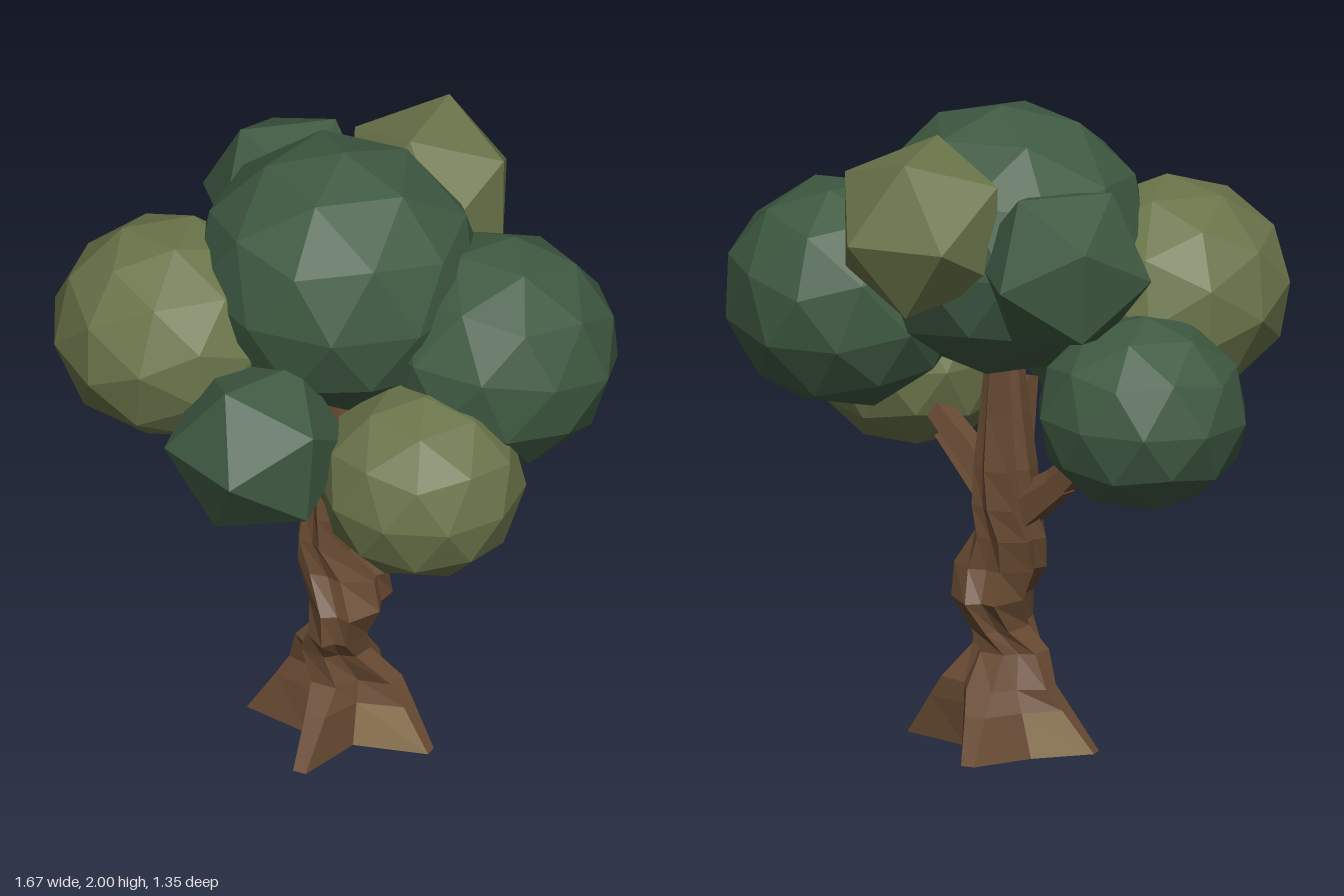
import * as THREE from 'three';

const material = (name, color) => {
  const m = new THREE.MeshStandardMaterial({ color, flatShading: true });
  m.name = name;
  return m;
};

export function createModel() {
  const tree = new THREE.Group();
  tree.name = 'tree';
  const bark = material('bark brown', 0x684a32);
  const paleBark = material('pale bark', 0x8c7552);
  const darkLeaf = material('dark green leaves', 0x3f5a42);
  const oliveLeaf = material('olive leaves', 0x6b754a);

  const add = (name, geometry, mat, parent = tree) => {
    const mesh = new THREE.Mesh(geometry, mat);
    mesh.name = name;
    parent.add(mesh);
    return mesh;
  };

  // Trunk: four-lobed rings that flare into roots and twist upwards
  // [y, centre x, centre z, radius x, radius z, lobe half angle, twist, valley ratios at four corners]
  const even = [0.8, 0.8, 0.8, 0.8];
  const rings = [
    [0, 0.013, -0.037, 0.3, 0.275, 0.07, 0.05, [0.42, 0.36, 0.36, 0.68]],
    [0.135, 0.015, -0.06, 0.215, 0.19, 0.15, 0.06, [0.55, 0.5, 0.5, 0.75]],
    [0.2, 0.015, -0.072, 0.176, 0.13, 0.24, 0.1, [0.65, 0.6, 0.6, 0.75]],
    [0.3, -0.012, -0.04, 0.118, 0.098, 0.35, 0.25, even],
    [0.37, 0.02, -0.027, 0.088, 0.138, 0.4, 0.45, even],
    [0.465, 0.042, -0.05, 0.118, 0.155, 0.4, 0.7, even],
    [0.56, 0.013, -0.06, 0.142, 0.095, 0.4, 0.95, even],
    [0.66, -0.022, -0.068, 0.113, 0.104, 0.4, 1.2, even],
    [0.76, -0.01, -0.075, 0.105, 0.108, 0.4, 1.4, even],
    [0.88, -0.01, -0.08, 0.095, 0.102, 0.4, 1.55, even],
    [1.05, -0.01, -0.085, 0.075, 0.075, 0.4, 1.65, even],
    [1.3, -0.01, -0.09, 0.05, 0.05, 0.4, 1.7, even],
  ];
  const sides = 12;
  const point = (i, j) => {
    const [y, cx, cz, rx, rz, half, twist, valleys] = rings[i];
    const lobe = Math.floor((j % sides) / 3);
    const k = j % 3;
    const a = lobe * Math.PI / 2 + twist + [-Math.PI / 4, -half, half][k];
    const r = k ? 1 : valleys[lobe];
    return [cx + Math.cos(a) * rx * r, y, cz + Math.sin(a) * rz * r];
  };
  const trunk = [], worn = [];
  for (let j = 0; j < sides; j++) {
    trunk.push(...[0.015, 0, -0.035], ...point(0, j), ...point(0, j + 1));
    for (let i = 0; i < rings.length - 1; i++) {
      const [a, b, c, d] = [point(i, j), point(i, j + 1), point(i + 1, j + 1), point(i + 1, j)];
      // Two root faces have pale, worn bark
      const pale = i === 0 && (j === 2 || j === 8);
      (pale ? worn : trunk).push(...a, ...d, ...c, ...a, ...c, ...b);
    }
  }
  const fromTriangles = (positions) => {
    const g = new THREE.BufferGeometry();
    g.setAttribute('position', new THREE.Float32BufferAttribute(positions, 3));
    g.computeVertexNormals();
    return g;
  };
  add('trunk', fromTriangles(trunk), bark);
  add('wornRootFaces', fromTriangles(worn), paleBark);

  // Branches: tapered five-sided limbs
  const branches = new THREE.Group();
  branches.name = 'branches';
  tree.add(branches);
  const up = new THREE.Vector3(0, 1, 0);
  const branch = (name, from, to, r0, r1) => {
    const a = new THREE.Vector3(...from), b = new THREE.Vector3(...to);
    const dir = b.clone().sub(a);
    const mesh = add(name, new THREE.CylinderGeometry(r1, r0, dir.length(), 5), bark, branches);
    mesh.position.copy(a).add(b).multiplyScalar(0.5);
    mesh.quaternion.setFromUnitVectors(up, dir.normalize());
  };
  branch('rightBranch', [-0.02, 0.71, -0.07], [-0.2, 0.855, -0.11], 0.075, 0.05);
  branch('rightBranchTip', [-0.18, 0.84, -0.105], [-0.305, 0.97, -0.14], 0.052, 0.037);
  branch('leftBranch', [0, 0.73, -0.06], [0.31, 0.95, 0.14], 0.07, 0.035);
  branch('upperLeftBranch', [0.0, 0.77, -0.06], [0.255, 1.02, 0.01], 0.06, 0.042);
  branch('frontBranch', [-0.015, 0.79, -0.05], [-0.02, 1.12, 0.05], 0.06, 0.045);

  // Foliage: faceted balls, each turned so that a corner points along 'pole'
  const foliage = new THREE.Group();
  foliage.name = 'foliage';
  tree.add(foliage);
  const clump = (name, mat, centre, radius, detail, pole, spin = 0) => {
    const g = new THREE.IcosahedronGeometry(1, detail);
    g.rotateX(Math.atan2(0.5257, 0.8507)).rotateZ(spin);
    g.lookAt(new THREE.Vector3(...pole));
    g.scale(...radius).translate(...centre);
    add(name, g, mat, foliage);
  };
  const ball = (r, ry = r) => [r, ry, r];
  clump('crownClump', darkLeaf, [-0.01, 1.585, -0.08], ball(0.438, 0.415), 1, [0.02, 1, -0.03]);
  clump('leftClump', darkLeaf, [0.47, 1.392, -0.155], ball(0.368, 0.352), 1, [0.5, 0.6, 0.6], 0.4);
  clump('rightClump', oliveLeaf, [-0.458, 1.415, 0.145], ball(0.358, 0.332), 1, [-0.3, 0.8, 0.5], 0.2);
  clump('lowFrontClump', oliveLeaf, [0.38, 1.118, 0.208], ball(0.313, 0.297), 1, [0.3, 0.4, 0.8], 0.6);
  clump('lowBackClump', darkLeaf, [-0.512, 1.152, -0.28], ball(0.322, 0.296), 1, [0.5, -0.4, -0.75]);
  clump('frontClump', darkLeaf, [-0.067, 1.24, 0.4], ball(0.282, 0.274), 0, [0.1, 0.03, 1], -0.37);
  clump('upperBackRightClump', darkLeaf, [-0.295, 1.605, -0.375], ball(0.275), 0, [-0.52, 0.42, -0.745]);
  clump('upperBackClump', oliveLeaf, [0.13, 1.708, -0.432], ball(0.283), 0, [0, 0.835, -0.55], Math.PI);

  return tree;
}
